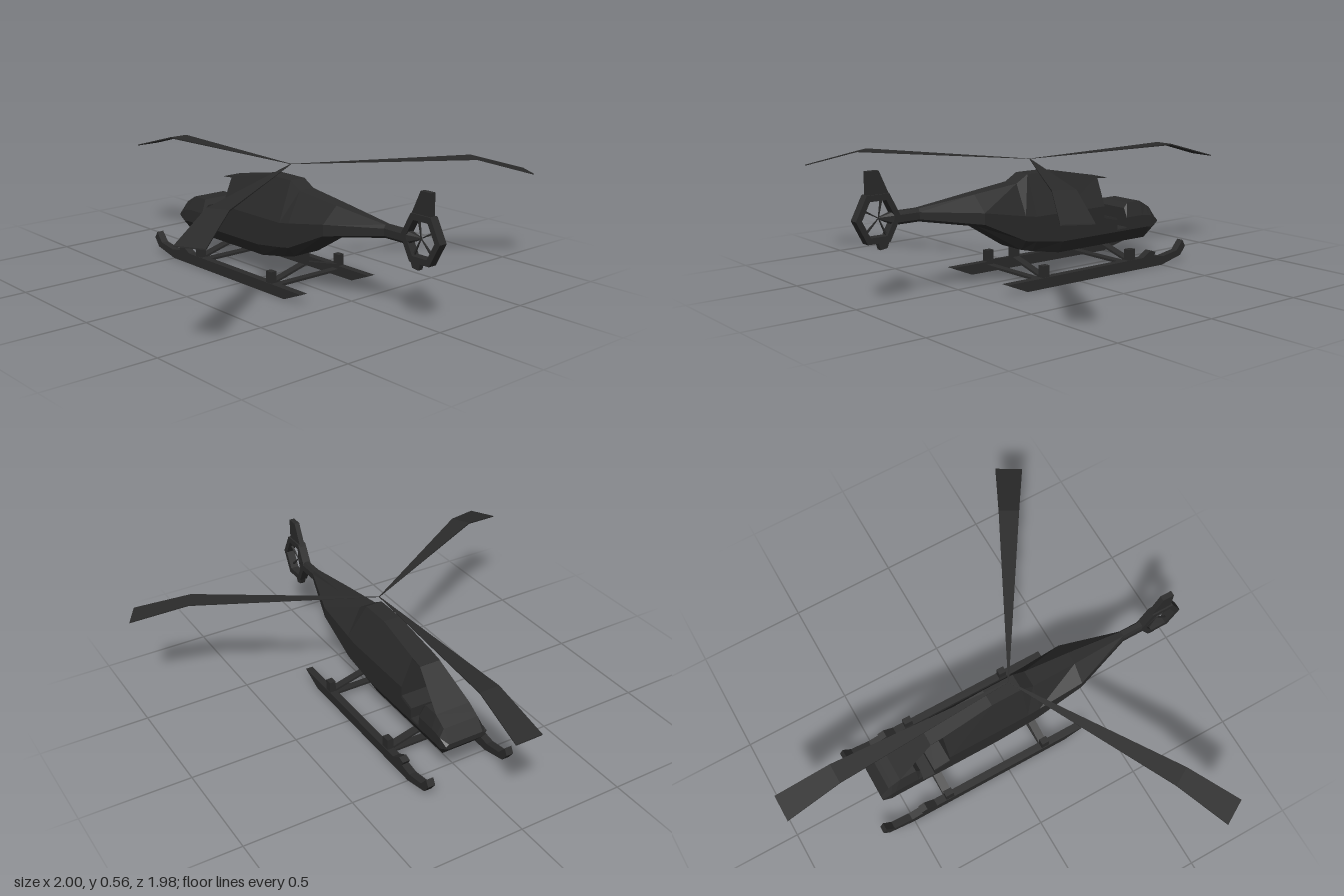
import * as THREE from 'three';

const paint = new THREE.MeshStandardMaterial({ color: 0x2b2b2b, flatShading: true });
const ROTOR = [0.105, 0.53, 0];
const FAN = [0.895, 0.36];

function add(parent, name, geometry) {
  const mesh = new THREE.Mesh(geometry, paint);
  mesh.name = name;
  parent.add(mesh);
  return mesh;
}

// Joins cross-sections { x, ring: [[y, z], ...] } along +x and caps both ends
function loft(sections) {
  const n = sections[0].ring.length, last = (sections.length - 1) * n;
  const pos = [], index = [];
  for (const { x, ring } of sections) for (const [y, z] of ring) pos.push(x, y, z);
  for (let s = 0; s < last; s += n) {
    for (let i = 0; i < n; i++) {
      const a = s + i, b = s + (i + 1) % n;
      index.push(a, a + n, b + n, a, b + n, b);
    }
  }
  for (let i = 1; i < n - 1; i++) {
    index.push(0, i, i + 1, last, last + i + 1, last + i);
  }
  const g = new THREE.BufferGeometry();
  g.setAttribute('position', new THREE.Float32BufferAttribute(pos, 3));
  g.setIndex(index);
  g.computeVertexNormals();
  return g;
}

// Eight-sided hull section: four heights, then bottom, middle and top half widths
function hull(x, y0, y1, y2, y3, w0, w1, w2) {
  const half = [[y0, w0], [y1, w1], [y2, w1], [y3, w2]];
  return { x, ring: [...half, ...half.map(([y, z]) => [y, -z]).reverse()] };
}

// Flat rectangular section
function slab(x, y, thickness, halfWidth) {
  const t = thickness / 2, w = halfWidth;
  return { x, ring: [[y - t, w], [y + t, w], [y + t, -w], [y - t, -w]] };
}

// Flat outline in x and y, extruded and centred on z
function plate(points, depth, hole) {
  const shape = new THREE.Shape(points.map(([x, y]) => new THREE.Vector2(x, y)));
  if (hole) shape.holes.push(new THREE.Path(hole.map(([x, y]) => new THREE.Vector2(x, y))));
  return new THREE.ExtrudeGeometry(shape, { depth, bevelEnabled: false }).translate(0, 0, -depth / 2);
}

function box(parent, name, size, at) {
  const mesh = add(parent, name, new THREE.BoxGeometry(...size));
  mesh.position.set(...at);
  return mesh;
}

function buildBody() {
  const body = new THREE.Group();
  body.name = 'body';
  add(body, 'cabinAndTailBoom', loft([
    hull(-0.25, 0.105, 0.16, 0.29, 0.422, 0.075, 0.105, 0.05),
    hull(0, 0.105, 0.16, 0.29, 0.47, 0.075, 0.105, 0.04),
    hull(0.15, 0.132, 0.18, 0.29, 0.47, 0.075, 0.105, 0.04),
    hull(0.21, 0.145, 0.19, 0.3, 0.435, 0.07, 0.105, 0.04),
    hull(0.43, 0.275, 0.29, 0.34, 0.41, 0.05, 0.105, 0.03),
    hull(0.7, 0.325, 0.335, 0.365, 0.38, 0.012, 0.02, 0.012),
    hull(0.82, 0.325, 0.335, 0.365, 0.38, 0.012, 0.02, 0.012),
    hull(0.885, 0.355, 0.358, 0.362, 0.365, 0.003, 0.004, 0.003),
  ]));
  add(body, 'nose', loft([
    hull(-0.592, 0.17, 0.175, 0.185, 0.195, 0.085, 0.1, 0.085),
    hull(-0.55, 0.125, 0.155, 0.21, 0.25, 0.08, 0.105, 0.085),
    hull(-0.53, 0.105, 0.16, 0.215, 0.262, 0.075, 0.105, 0.085),
    hull(-0.49, 0.105, 0.16, 0.22, 0.285, 0.075, 0.105, 0.085),
    hull(-0.41, 0.105, 0.16, 0.22, 0.285, 0.075, 0.105, 0.085),
    hull(-0.39, 0.105, 0.16, 0.22, 0.262, 0.075, 0.105, 0.085),
  ]));
  add(body, 'doorSill', loft([
    hull(-0.39, 0.105, 0.16, 0.17, 0.175, 0.075, 0.105, 0.103),
    hull(-0.33, 0.105, 0.16, 0.17, 0.175, 0.075, 0.105, 0.103),
  ]));
  add(body, 'seatBase', loft([
    hull(-0.33, 0.105, 0.16, 0.215, 0.225, 0.075, 0.105, 0.103),
    hull(-0.25, 0.105, 0.16, 0.235, 0.245, 0.075, 0.105, 0.103),
  ]));
  add(body, 'roofLip', loft([slab(-0.31, 0.41, 0.002, 0.05), slab(-0.25, 0.418, 0.008, 0.05)]));

  // One-sided windscreen panel, facing forward and up
  const screen = new THREE.BufferGeometry();
  screen.setAttribute('position', new THREE.Float32BufferAttribute(
    [-0.49, 0.285, -0.085, -0.49, 0.285, 0.085, -0.31, 0.41, 0.05, -0.31, 0.41, -0.05], 3));
  screen.setIndex([0, 1, 2, 0, 2, 3]);
  screen.computeVertexNormals();
  add(body, 'windscreen', screen);
  return body;
}

function buildTail() {
  const tail = new THREE.Group();
  tail.name = 'tail';
  const hexagon = (rx, ry) => Array.from({ length: 6 }, (_, i) => {
    const a = i * Math.PI / 3;
    return [FAN[0] + rx * Math.cos(a), FAN[1] + ry * Math.sin(a)];
  });
  add(tail, 'fanRing', plate(hexagon(0.105, 0.115), 0.04, hexagon(0.077, 0.085)));
  add(tail, 'upperFin', plate([[0.835, 0.445], [0.885, 0.555], [0.94, 0.555], [0.94, 0.453]], 0.025));
  add(tail, 'lowerFin', plate([[0.84, 0.268], [0.853, 0.235], [0.885, 0.23], [0.895, 0.265]], 0.025));
  // Thin fan blades
  for (let i = 0; i < 5; i++) {
    const blade = add(tail, 'fanBlade', loft([slab(0, 0, 0.003, 0.002), slab(0.078, 0, 0.008, 0.005)]));
    blade.position.set(0.885, FAN[1], 0);
    blade.rotation.z = 0.5 + i * Math.PI * 0.4;
  }
  return tail;
}

function buildRotor() {
  const rotor = new THREE.Group();
  rotor.name = 'mainRotor';
  rotor.position.set(...ROTOR);
  // Three tapering blades with drooped tips
  for (let i = 0; i < 3; i++) {
    const blade = add(rotor, 'rotorBlade', loft([
      slab(0, 0, 0.001, 0.002), slab(0.84, -0.002, 0.006, 0.047), slab(1.105, -0.077, 0.005, 0.063),
    ]));
    blade.rotation.y = Math.PI + i * Math.PI * 2 / 3;
  }
  return rotor;
}

function buildLandingGear() {
  const gear = new THREE.Group();
  gear.name = 'landingGear';
  gear.position.z = -0.01;
  const runner = [[-0.625, 0.03], [-0.5, 0], [0.3, 0.002], [0.41, 0.048], [-0.38, 0.05], [-0.43, 0.078],
    [-0.46, 0.068], [-0.45, 0.05], [-0.51, 0.04], [-0.6, 0.055], [-0.638, 0.1], [-0.655, 0.07]];
  for (const side of [-1, 1]) {
    add(gear, 'skid', plate(runner, 0.035)).position.z = side * 0.2;
  }
  // Posts, sloping braces and cross bars at the front and rear
  for (const [x, width, top] of [[-0.31, 0.04, 0.12], [0.195, 0.036, 0.16]]) {
    box(gear, 'crossBar', [width, 0.01, 0.38], [x, 0.03, 0]);
    box(gear, 'bodyMount', [width, top - 0.09, 0.03], [x, (top + 0.09) / 2, 0.01]);
    for (const side of [-1, 1]) {
      box(gear, 'skidPost', [width, 0.06, 0.03], [x, 0.07, side * 0.2]);
      const brace = box(gear, 'brace', [width, 0.01, 0.2], [x, 0.075, side * 0.095]);
      brace.rotation.x = side * Math.atan2(0.05, 0.19);
    }
  }
  return gear;
}

export function createModel() {
  const model = new THREE.Group();
  model.name = 'helicopter';
  model.add(buildBody(), buildTail(), buildRotor(), buildLandingGear());
  return model;
}
